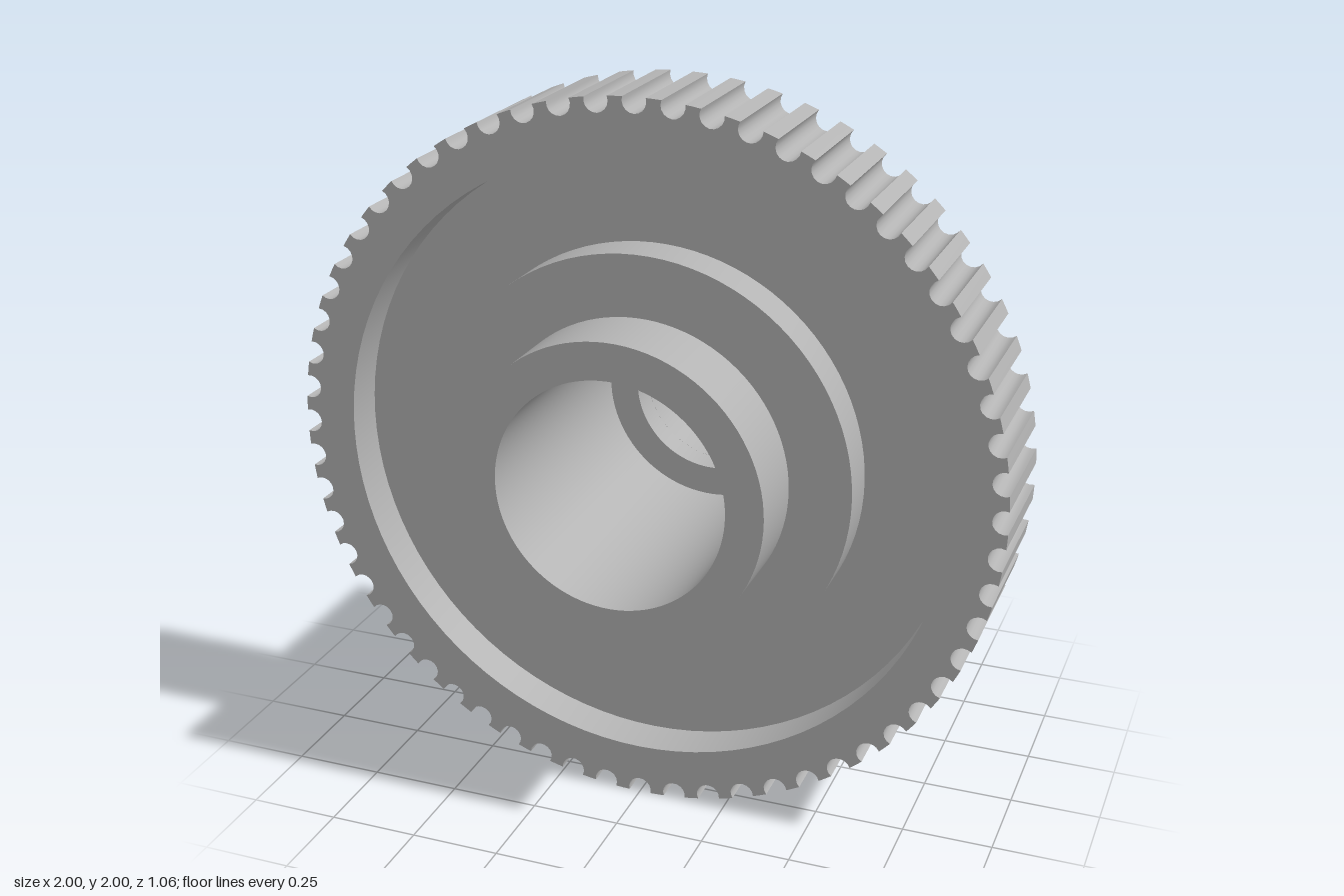
import * as THREE from 'three';
import { toCreasedNormals } from 'three/addons/utils/BufferGeometryUtils.js';

const steel = new THREE.MeshStandardMaterial({ color: 0xb3b3b3 });
steel.name = 'steel grey';

const CREASE = 0.5;
const TEETH = 60;
const RIM_BACK = -0.013, RIM_FRONT = 0.325;
const HUB_R = 0.423, BORE_R = 0.235, HUB_END = 0.53, FLAT_END = -0.35;

function addPart(group, name, geometry) {
  const mesh = new THREE.Mesh(toCreasedNormals(geometry, CREASE), steel);
  mesh.name = name;
  group.add(mesh);
}

// Turned part: [radius, z] pairs, spun about the z axis
function turned(profile) {
  const points = profile.map(([r, z]) => new THREE.Vector2(r, z));
  return new THREE.LatheGeometry(points, 96).rotateX(Math.PI / 2);
}

// Shape extruded between two z positions
function slab(shape, z0, z1, curveSegments) {
  return new THREE.ExtrudeGeometry(shape, { depth: z1 - z0, bevelEnabled: false, curveSegments })
    .translate(0, 0, z0);
}

function hole(x, y, r) {
  return new THREE.Path().absarc(x, y, r, 0, Math.PI * 2, true);
}

// Outline with round grooves cut into the unit circle
function toothedShape() {
  const pitchR = 0.99, grooveR = 0.033, steps = 10;
  const mouth = Math.acos((1 - pitchR ** 2 - grooveR ** 2) / (2 * pitchR * grooveR));
  const points = [];
  for (let i = 0; i < TEETH; i++) {
    const a = (i / TEETH) * Math.PI * 2;
    for (let j = 0; j <= steps; j++) {
      const t = a - mouth - (j / steps) * 2 * (Math.PI - mouth);
      points.push(new THREE.Vector2(
        pitchR * Math.cos(a) + grooveR * Math.cos(t),
        pitchR * Math.sin(a) + grooveR * Math.sin(t)
      ));
    }
    // middle of the tooth tip
    const tip = a + Math.PI / TEETH;
    points.push(new THREE.Vector2(Math.cos(tip), Math.sin(tip)));
  }
  return new THREE.Shape(points);
}

// Round hub section with two side flats, a bore and six bolt holes
function flattedShape() {
  const a = Math.acos(0.38 / HUB_R);
  const shape = new THREE.Shape();
  shape.absarc(0, 0, HUB_R, a, Math.PI - a, false);
  shape.absarc(0, 0, HUB_R, Math.PI + a, Math.PI * 2 - a, false);
  shape.closePath();
  shape.holes.push(hole(0, 0, BORE_R));
  for (let i = 0; i < 6; i++) {
    const t = Math.PI / 6 + (i * Math.PI) / 3;
    shape.holes.push(hole(0.325 * Math.cos(t), 0.325 * Math.sin(t), 0.037));
  }
  return shape;
}

export function createModel() {
  const group = new THREE.Group();
  group.name = 'toothedPulley';
  const wheel = new THREE.Group();
  wheel.name = 'wheel';
  wheel.position.y = 1;
  group.add(wheel);

  // Toothed rim
  const rim = toothedShape();
  rim.holes.push(hole(0, 0, 0.853));
  addPart(wheel, 'toothedRim', slab(rim, RIM_BACK, RIM_FRONT, 48));

  // Recessed web with a raised boss on both faces
  addPart(wheel, 'webAndBoss', turned([
    [0.41, RIM_BACK], [0.593, RIM_BACK], [0.593, 0.107], [0.854, 0.107],
    [0.854, 0.205], [0.593, 0.205], [0.593, RIM_FRONT], [0.41, RIM_FRONT],
  ]));

  // Hub sleeve with a wide front bore stepping down to the rear bore
  addPart(wheel, 'hubSleeve', turned([
    [BORE_R, FLAT_END], [HUB_R, FLAT_END], [HUB_R, HUB_END], [0.32, HUB_END],
    [0.32, -0.27], [BORE_R, -0.27], [BORE_R, FLAT_END],
  ]));

  // Rear hub end with side flats and blind bolt holes
  addPart(wheel, 'hubFlattedEnd', slab(flattedShape(), -HUB_END, FLAT_END, 24));

  return group;
}
